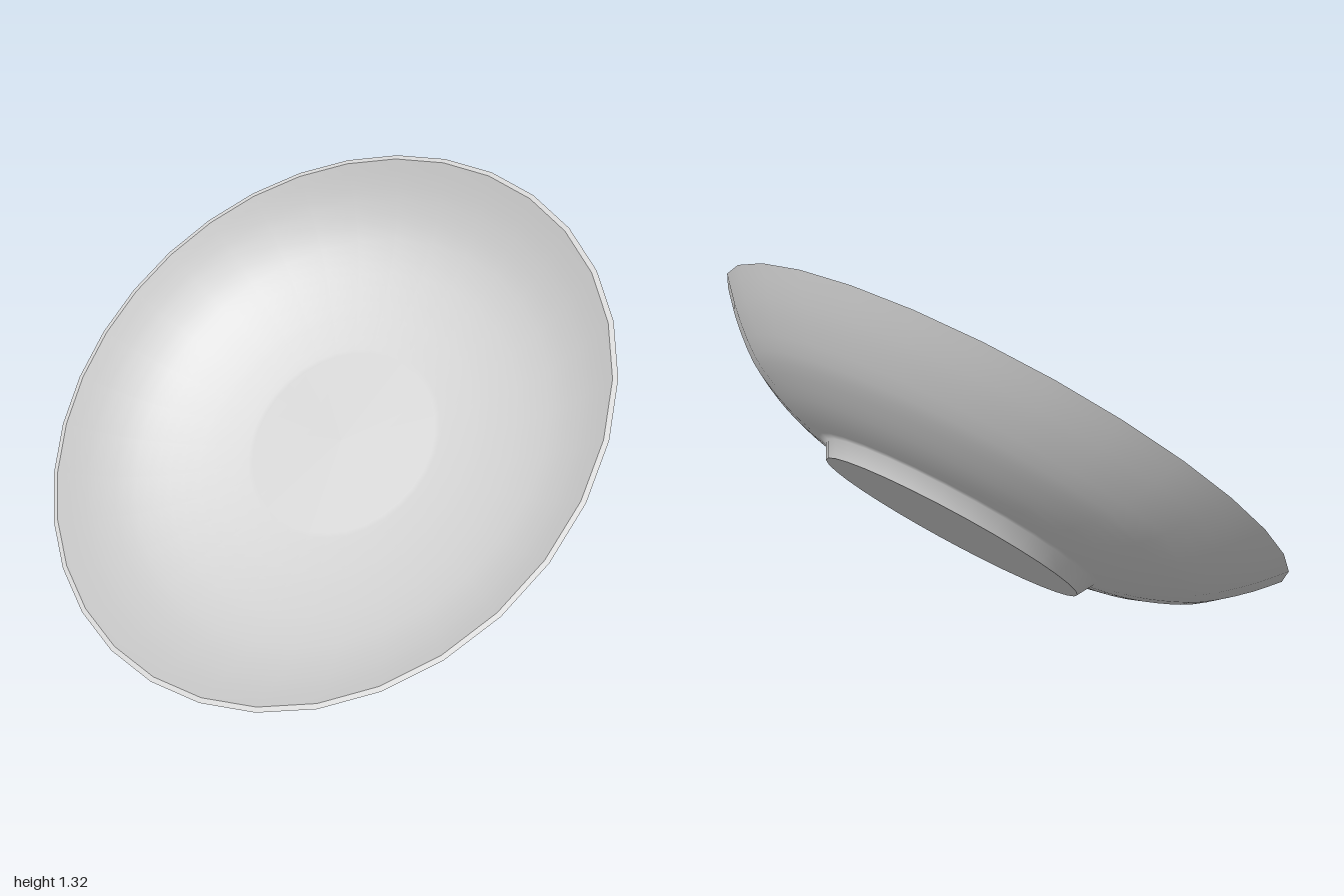
import * as THREE from 'three';

const SEGMENTS = 32;

export function createModel() {
  const model = new THREE.Group();
  model.name = 'tiltedBowl';
  const material = new THREE.MeshStandardMaterial({ color: 0xcccccc });

  // Bowl axis is local y, with the rim plane at y = 0
  const bowl = new THREE.Group();
  bowl.name = 'bowl';
  const addLathe = (name, profile) => {
    const points = profile.map(([r, y]) => new THREE.Vector2(r, y));
    const mesh = new THREE.Mesh(new THREE.LatheGeometry(points, SEGMENTS), material);
    mesh.name = name;
    bowl.add(mesh);
  };
  // Smooth curve through a few control points of a profile
  const smooth = (pts, n) => new THREE.SplineCurve(pts.map(([r, y]) => new THREE.Vector2(r, y)))
    .getPoints(n).map((p) => [p.x, p.y]);

  // Flat underside of the foot
  addLathe('footBase', [[0, -0.333], [0.453, -0.333]]);

  // Foot ring flowing into the outer wall
  addLathe('outerWall', [
    [0.453, -0.333],
    ...smooth([[0.483, -0.282], [0.56, -0.268], [0.645, -0.245], [0.74, -0.207],
      [0.82, -0.163], [0.92, -0.081], [0.998, 0]], 14),
  ]);

  // Thin lip
  addLathe('rim', [[0.998, 0], [0.982, 0]]);

  // Inner wall down to a flat floor
  addLathe('innerWall', [
    ...smooth([[0.982, 0], [0.9, -0.075], [0.805, -0.143], [0.72, -0.185],
      [0.63, -0.217], [0.5, -0.249], [0.36, -0.27]], 14),
    [0.34, -0.271], [0, -0.271],
  ]);

  // Lean the bowl onto its low side, with a very slight roll
  bowl.rotation.order = 'ZXY';
  bowl.rotation.set(-0.02, 0, Math.atan2(1.305, 1.505));
  bowl.position.y = 0.667;
  model.add(bowl);
  return model;
}
